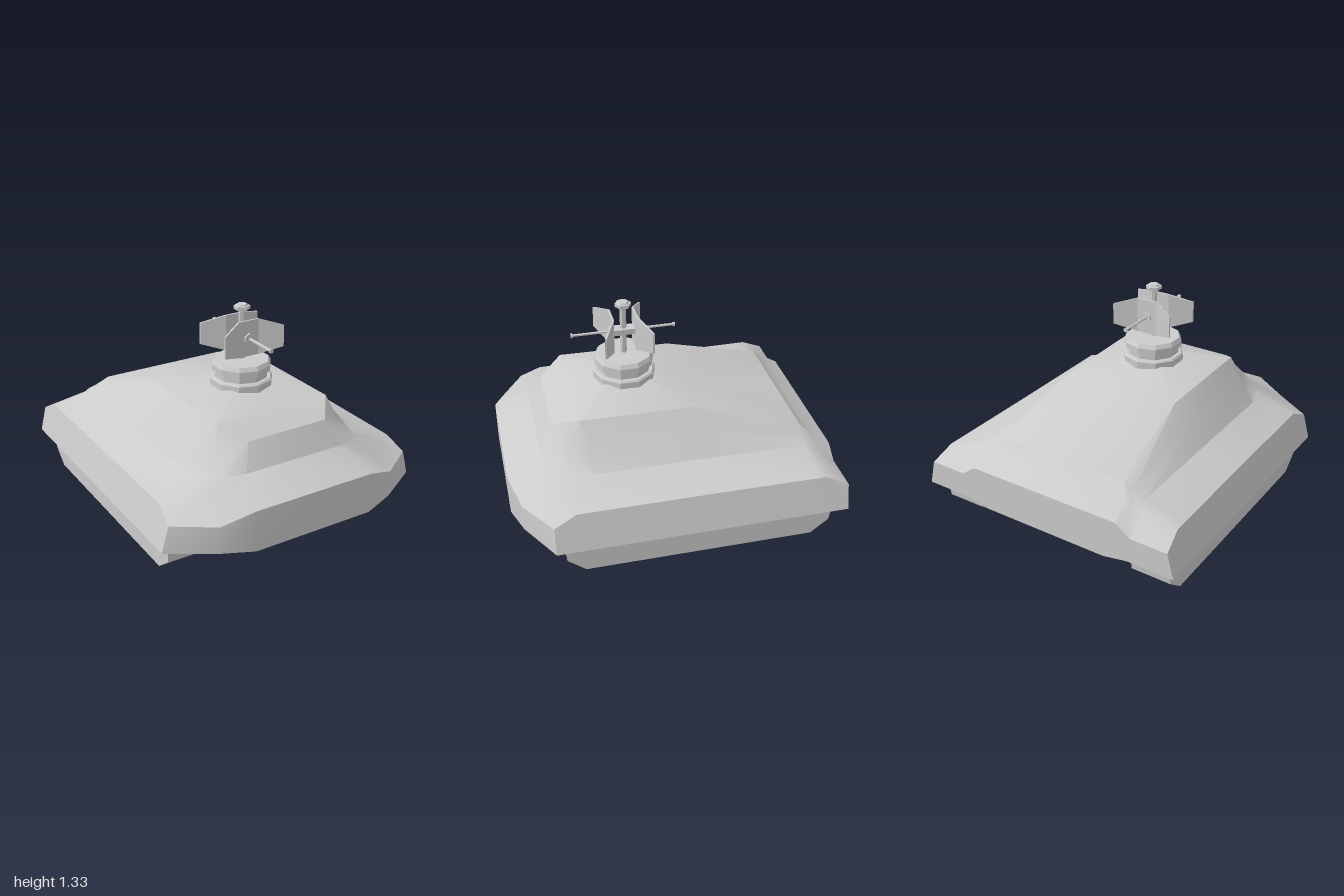
import * as THREE from 'three';
import { toCreasedNormals } from 'three/addons/utils/BufferGeometryUtils.js';

const smooth = new THREE.MeshStandardMaterial({ color: 0xcccccc });
const flat = new THREE.MeshStandardMaterial({ color: 0xcccccc, flatShading: true });

function part(name, geometry, parent, material = flat) {
  const mesh = new THREE.Mesh(geometry, material);
  mesh.name = name;
  parent.add(mesh);
  return mesh;
}

// Hull: half cross-sections from the back to the front, mirrored across x = 0.
// Each lists lower rim, upper rim, ledge, mid slope and deck edge.
function hullGeometry() {
  const sections = [
    [[.88, .21, -1], [.84, .37, -1], [.6, .37, -1], [.52, .43, -1], [.5, .44, -1]],
    [[.88, .21, -.86], [.82, .435, -.86], [.6, .48, -.87], [.53, .5, -.87], [.5, .51, -.88]],
    [[.88, .21, -.8], [.82, .435, -.8], [.58, .51, -.8], [.5, .55, -.8], [.44, .58, -.81]],
    [[.88, .21, -.17], [.815, .435, -.17], [.585, .52, -.17], [.49, .63, -.17], [.385, .765, -.17]],
    [[.88, .21, .65], [.815, .435, .65], [.585, .52, .5], [.49, .63, .5], [.385, .775, .55]],
    [[.88, .21, .785], [.835, .37, .785], [.53, .525, .66], [.43, .64, .61], [.385, .775, .55]],
    [[.6, .2, .94], [.6, .37, .94], [.45, .54, .74], [.35, .67, .67], [.385, .775, .55]],
    [[.4, .18, 1], [.4, .44, 1], [.33, .55, .785], [.27, .7, .7], [.385, .775, .55]],
  ];
  // Underside points come first; the deck centre (or its raised peak) comes last
  const columns = sections.map((s, i) => {
    const [x, y, z] = s[0], edge = s[4];
    const top = i < 4 ? [0, edge[1], edge[2]] : [0, .875, .2];
    return [[0, .18, z], [Math.min(x, .42), .18, z], [Math.min(x, .58), y, z], ...s, top];
  });

  const positions = [];
  const same = (p, q) => p.every((v, k) => Math.abs(v - q[k]) < 1e-6);
  const mirror = ([x, y, z]) => [-x, y, z];
  const tri = (a, b, c) => {
    if (same(a, b) || same(b, c) || same(a, c)) return;
    positions.push(...a, ...b, ...c, ...mirror(a), ...mirror(c), ...mirror(b));
  };
  const quad = (a, b, c, d) => { tri(a, b, c); tri(a, c, d); };

  const first = columns[0], last = columns[columns.length - 1];
  const centre = ([, y, z]) => [0, y, z];
  for (let j = 0; j < first.length - 1; j++) {
    for (let i = 0; i < columns.length - 1; i++) {
      const a = columns[i], b = columns[i + 1];
      quad(a[j], a[j + 1], b[j + 1], b[j]);
    }
    quad(last[j], last[j + 1], centre(last[j + 1]), centre(last[j])); // front
    tri([0, .3, -1], first[j + 1], first[j]);                         // back
  }
  const geometry = new THREE.BufferGeometry();
  geometry.setAttribute('position', new THREE.Float32BufferAttribute(positions, 3));
  return toCreasedNormals(geometry, 0.5);
}

// Running skid: side profile (z, y) extruded across its width
function skidGeometry() {
  const profile = [[-.93, .22], [-.91, .09], [-.8, 0], [.61, 0], [.72, .09], [.735, .22]];
  const shape = new THREE.Shape(profile.map(([z, y]) => new THREE.Vector2(-z, y)));
  const geometry = new THREE.ExtrudeGeometry(shape, { depth: .255, bevelEnabled: false });
  geometry.translate(0, 0, -.1275);
  return geometry.rotateY(Math.PI / 2);
}

// Shield: a thin plate whose tapered wings sweep forward
function shieldGeometry() {
  const geometry = new THREE.BoxGeometry(.41, .225, .012, 3, 1, 1);
  const p = geometry.attributes.position;
  for (let i = 0; i < p.count; i++) {
    if (Math.abs(p.getX(i)) > .15) {
      p.setY(i, p.getY(i) * .6);
      p.setZ(i, p.getZ(i) + .07);
    }
  }
  return geometry;
}

// Rod along z between two positions
function rod(name, radius, z0, z1, sides, parent) {
  const geometry = new THREE.CylinderGeometry(radius, radius, z1 - z0, sides).rotateX(Math.PI / 2);
  part(name, geometry, parent).position.z = (z0 + z1) / 2;
}

export function createModel() {
  const model = new THREE.Group();
  model.name = 'armouredVehicle';
  part('hull', hullGeometry(), model, smooth);
  for (const side of [1, -1]) {
    part(side > 0 ? 'leftSkid' : 'rightSkid', skidGeometry(), model).position.x = side * .683;
  }

  // Turret: stepped ten-sided drum
  const turret = new THREE.Group();
  turret.name = 'turret';
  turret.position.z = .2;
  model.add(turret);
  const drum = [[0, .8], [.195, .8], [.195, .865], [.185, .875], [.165, .875], [.165, .92],
    [.185, .92], [.185, .955], [.17, .98], [0, .98]].map(([r, y]) => new THREE.Vector2(r, y));
  part('drum', new THREE.LatheGeometry(drum, 10), turret);

  // Mast with a hexagonal cap
  part('mast', new THREE.CylinderGeometry(.02, .02, .34, 6), turret).position.y = 1.14;
  part('mastCap', new THREE.CylinderGeometry(.05, .05, .02, 6), turret).position.y = 1.304;
  part('mastCapTop', new THREE.CylinderGeometry(.032, .04, .012, 6), turret).position.y = 1.319;
  part('crossBlock', new THREE.BoxGeometry(.07, .036, .14), turret).position.y = 1.13;

  // Shielded guns facing forward and backward
  for (const [name, turn] of [['frontGun', 0], ['rearGun', Math.PI]]) {
    const gun = new THREE.Group();
    gun.name = name;
    gun.position.y = 1.13;
    gun.rotation.y = turn;
    turret.add(gun);
    part('shield', shieldGeometry(), gun).position.z = .074;
    rod('gunMount', .034, .07, .092, 6, gun);
    rod('barrel', .009, .08, .315, 6, gun);
    rod('muzzle', .015, .31, .322, 6, gun);
  }
  return model;
}
